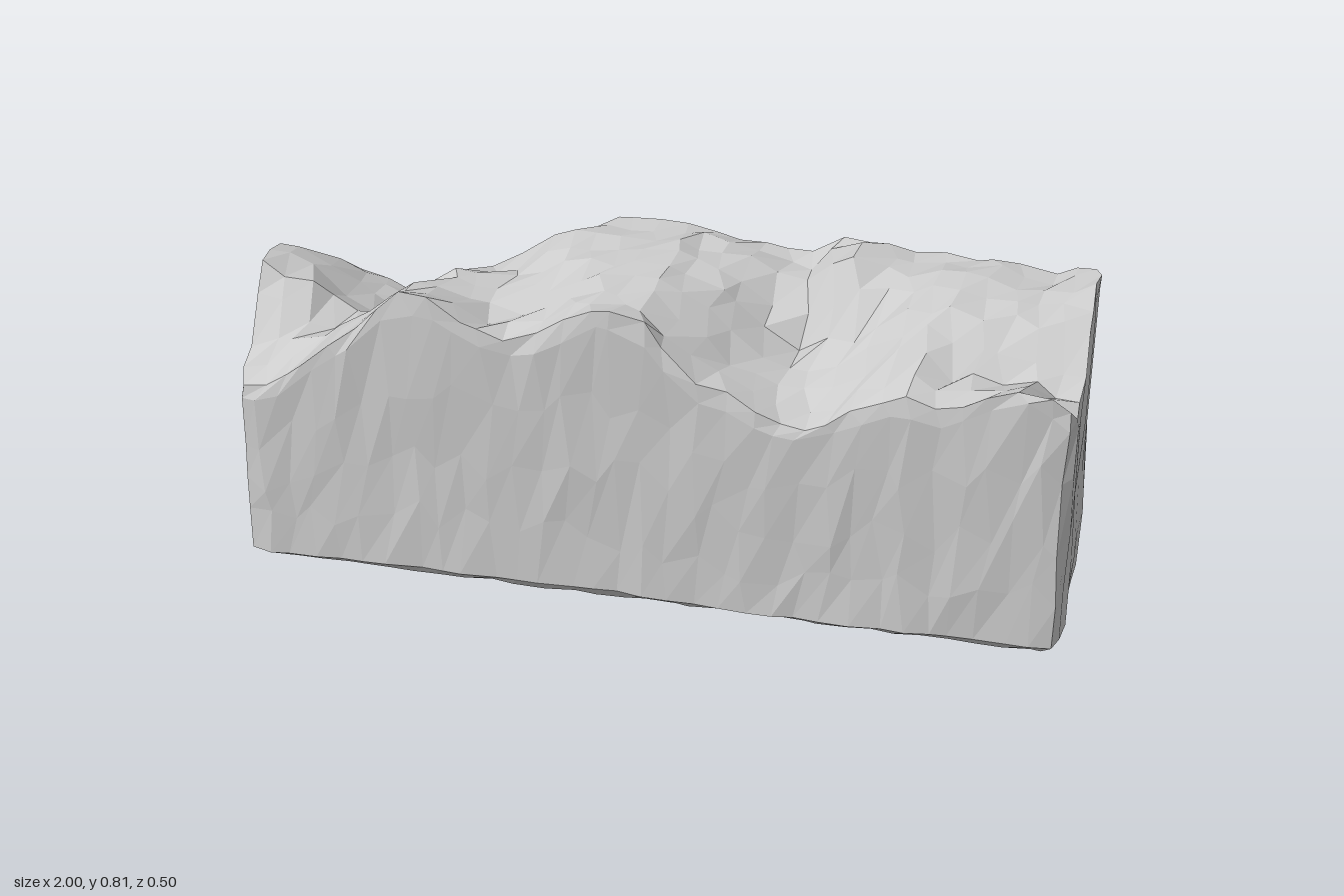
import * as THREE from 'three';

// Height of the broken top: one row per depth (front to back), one column per 0.1 along x
const ROWS = [
  [.46, .48, .58, .66, .77, .77, .71, .68, .73, .80, .77, .62, .60, .55, .54, .60, .65, .62, .69, .73, .64],
  [.52, .56, .57, .65, .74, .75, .70, .70, .76, .78, .79, .73, .61, .57, .57, .64, .72, .66, .64, .64, .62],
  [.70, .68, .58, .57, .66, .74, .71, .76, .78, .79, .79, .77, .70, .59, .64, .70, .77, .77, .76, .74, .75],
  [.68, .67, .59, .52, .54, .66, .70, .79, .80, .79, .80, .78, .76, .71, .83, .79, .78, .79, .78, .77, .79],
  [.57, .58, .56, .53, .46, .45, .54, .69, .78, .80, .79, .78, .76, .75, .81, .79, .78, .78, .77, .77, .81],
];

function topHeight(x, z) {
  const u = THREE.MathUtils.clamp((x + 1) * 10, 0, 19.999);
  const v = THREE.MathUtils.clamp((0.25 - z) * 8, 0, 3.999);
  const i = Math.floor(u), j = Math.floor(v);
  const { lerp } = THREE.MathUtils;
  return lerp(
    lerp(ROWS[j][i], ROWS[j][i + 1], u - i),
    lerp(ROWS[j + 1][i], ROWS[j + 1][i + 1], u - i), v - j);
}

// Repeatable value in 0..1 for a grid point
function hash(a, b, c, seed) {
  const s = Math.sin(a * 12.9898 + b * 78.233 + c * 37.719 + seed * 4.581) * 43758.5453;
  return s - Math.floor(s);
}

export function createModel() {
  const NX = 32, NY = 6, NZ = 8;
  const LEVELS = [0, 0.04, 0.24, 0.46, 0.7, 0.94, 1]; // share of the height at each ring
  const geometry = new THREE.BoxGeometry(2, 1, 0.5, NX, NY, NZ);
  const p = geometry.attributes.position;

  for (let n = 0; n < p.count; n++) {
    let x = p.getX(n), z = p.getZ(n);
    const i = Math.round((x + 1) / 2 * NX);
    const j = Math.round((p.getY(n) + 0.5) * NY);
    const k = Math.round((z + 0.25) / 0.5 * NZ);
    const r = (seed) => hash(i, j, k, seed);
    const endX = i === 0 || i === NX, endZ = k === 0 || k === NZ;
    const bottom = j === 0, top = j === NY;

    // Uneven grid inside each face, slightly hollowed wall surfaces
    x += endX ? -Math.sign(x) * 0.012 * r(1) : (r(1) - 0.5) * 0.04;
    z += endZ ? -Math.sign(z) * 0.013 * r(2) : (r(2) - 0.5) * 0.035;

    // Worn vertical corners, lower rim and upper rim
    if (endX && endZ) { x -= Math.sign(x) * 0.012; z -= Math.sign(z) * 0.008; }
    if (bottom) {
      if (endX) x -= Math.sign(x) * 0.025;
      if (endZ) z -= Math.sign(z) * 0.03;
    }
    if (top && endZ) z -= Math.sign(z) * 0.008;

    // Stretch every column up to the broken top
    let level = LEVELS[j];
    if (j > 1 && j < NY - 1) level += (r(3) - 0.5) * 0.12;
    let y = level * topHeight(x, z);
    if (top) y += (r(4) - 0.5) * 0.02;
    p.setXYZ(n, x, y, z);
  }
  geometry.computeVertexNormals();

  const material = new THREE.MeshStandardMaterial({ color: 0xcccccc, flatShading: true });
  const wall = new THREE.Mesh(geometry, material);
  wall.name = 'brokenWall';
  const group = new THREE.Group();
  group.name = 'ruinedWallBlock';
  group.add(wall);
  return group;
}
